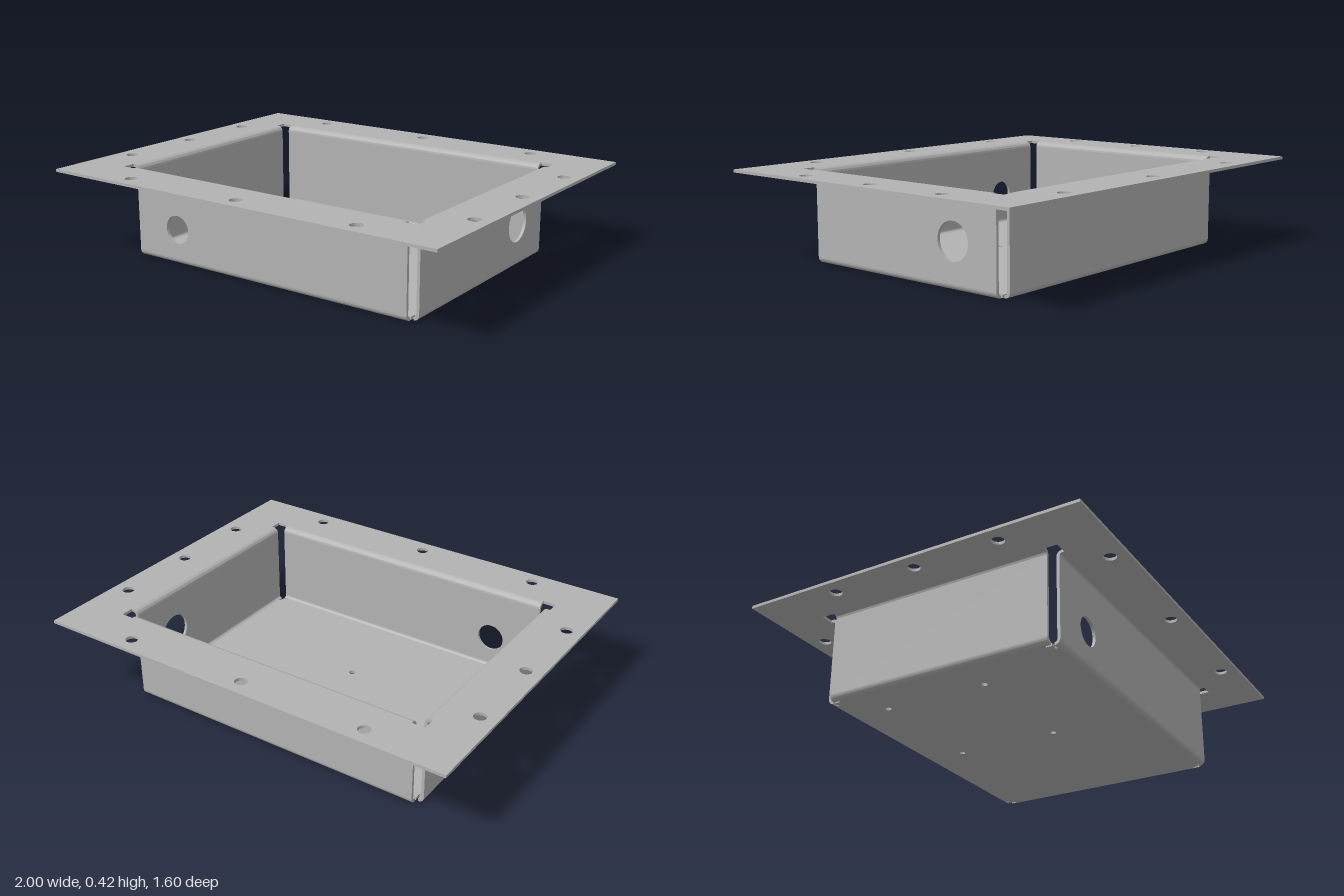
import * as THREE from 'three';
import { toCreasedNormals } from 'three/addons/utils/BufferGeometryUtils.js';

const T = 0.0133;          // sheet thickness
const H = 0.418;           // overall height
const IX = 0.75, IZ = 0.55; // inner faces of the walls
const WX = 0.727, WZ = 0.527; // half widths of the walls between corner reliefs

const steel = new THREE.MeshStandardMaterial({ color: 0xb2b2b2 });
steel.name = 'sheetGrey';

function makeMesh(name, geometry) {
  const mesh = new THREE.Mesh(toCreasedNormals(geometry, 0.6), steel);
  mesh.name = name;
  return mesh;
}

function circle(x, y, r) {
  return new THREE.Path().absarc(x, y, r, 0, Math.PI * 2, true);
}

function extrude(shape, depth) {
  return new THREE.ExtrudeGeometry(shape, { depth, bevelEnabled: false, curveSegments: 24 });
}

// Repeats one corner's outline in all four quadrants, counter-clockwise
function fourCorners(corner) {
  const points = [];
  for (const [sx, sy] of [[1, 1], [-1, 1], [-1, -1], [1, -1]]) {
    const run = corner.map(([x, y]) => new THREE.Vector2(x * sx, y * sy));
    points.push(...(sx * sy < 0 ? run.reverse() : run));
  }
  return points;
}

// Horizontal sheet with its upper face at height top
function plate(name, shape, top) {
  return makeMesh(name, extrude(shape, T).rotateX(Math.PI / 2).translate(0, top, 0));
}

// Quarter-round bend, swept along x; u points out of the tray
function bend(name, u, y, from, to, length) {
  const shape = new THREE.Shape();
  shape.absarc(u, y, 2 * T, from, to, to < from);
  shape.absarc(u, y, T, to, from, to > from);
  const geometry = extrude(shape, length).rotateY(-Math.PI / 2).translate(length / 2, 0, 0);
  return makeMesh(name, geometry);
}

// Wall with its lower and upper bends, facing +z before it is turned
function wall(name, half, inner, angle, hole) {
  const group = new THREE.Group();
  group.name = name;
  const low = 2 * T, high = H - 2 * T;
  const shape = new THREE.Shape([
    new THREE.Vector2(-half, low), new THREE.Vector2(half, low),
    new THREE.Vector2(half, high), new THREE.Vector2(-half, high),
  ]);
  if (hole) shape.holes.push(circle(...hole));
  group.add(
    makeMesh(name + 'Panel', extrude(shape, T).translate(0, 0, inner)),
    bend(name + 'LowerBend', inner - T, low, -Math.PI / 2, 0, half * 2),
    bend(name + 'UpperBend', inner + 2 * T, high, Math.PI, Math.PI / 2, half * 2),
  );
  group.rotation.y = angle;
  return group;
}

export function createModel() {
  const model = new THREE.Group();
  model.name = 'sheetMetalTray';

  // Floor with slit corner reliefs and four small mounting holes
  const fx = IX - T, fz = IZ - T;
  const floor = new THREE.Shape(fourCorners([
    [fx, 0.5], [WX, 0.5], [WX, WZ], [0.7, WZ], [0.7, fz],
  ]));
  for (const x of [-0.567, 0.015]) {
    for (const z of [-0.367, 0.12]) floor.holes.push(circle(x, z, 0.0145));
  }
  model.add(plate('floor', floor, T));

  // Flange with square corner reliefs and ten screw holes
  const flange = new THREE.Shape([
    new THREE.Vector2(-1, -0.8), new THREE.Vector2(1, -0.8),
    new THREE.Vector2(1, 0.8), new THREE.Vector2(-1, 0.8),
  ]);
  const ox = IX + 2 * T, oz = IZ + 2 * T;
  flange.holes.push(new THREE.Path(fourCorners([
    [ox, WZ], [0.786, WZ], [0.786, 0.586], [WX, 0.586], [WX, oz],
  ])));
  for (const side of [-1, 1]) {
    for (const x of [-0.6, 0, 0.6]) flange.holes.push(circle(x, side * 0.725, 0.028));
    for (const z of [-0.4, 0, 0.4]) flange.holes.push(circle(side * 0.925, z, 0.028));
  }
  model.add(plate('flange', flange, H));

  // Four walls; the front and the +x side have cable holes
  model.add(
    wall('frontWall', WX, IZ, 0, [-0.49, 0.163, 0.065]),
    wall('backWall', WX, IZ, Math.PI),
    wall('leftWall', WZ, IX, Math.PI / 2, [0.296, 0.2, 0.083]),
    wall('rightWall', WZ, IX, -Math.PI / 2),
  );
  return model;
}
